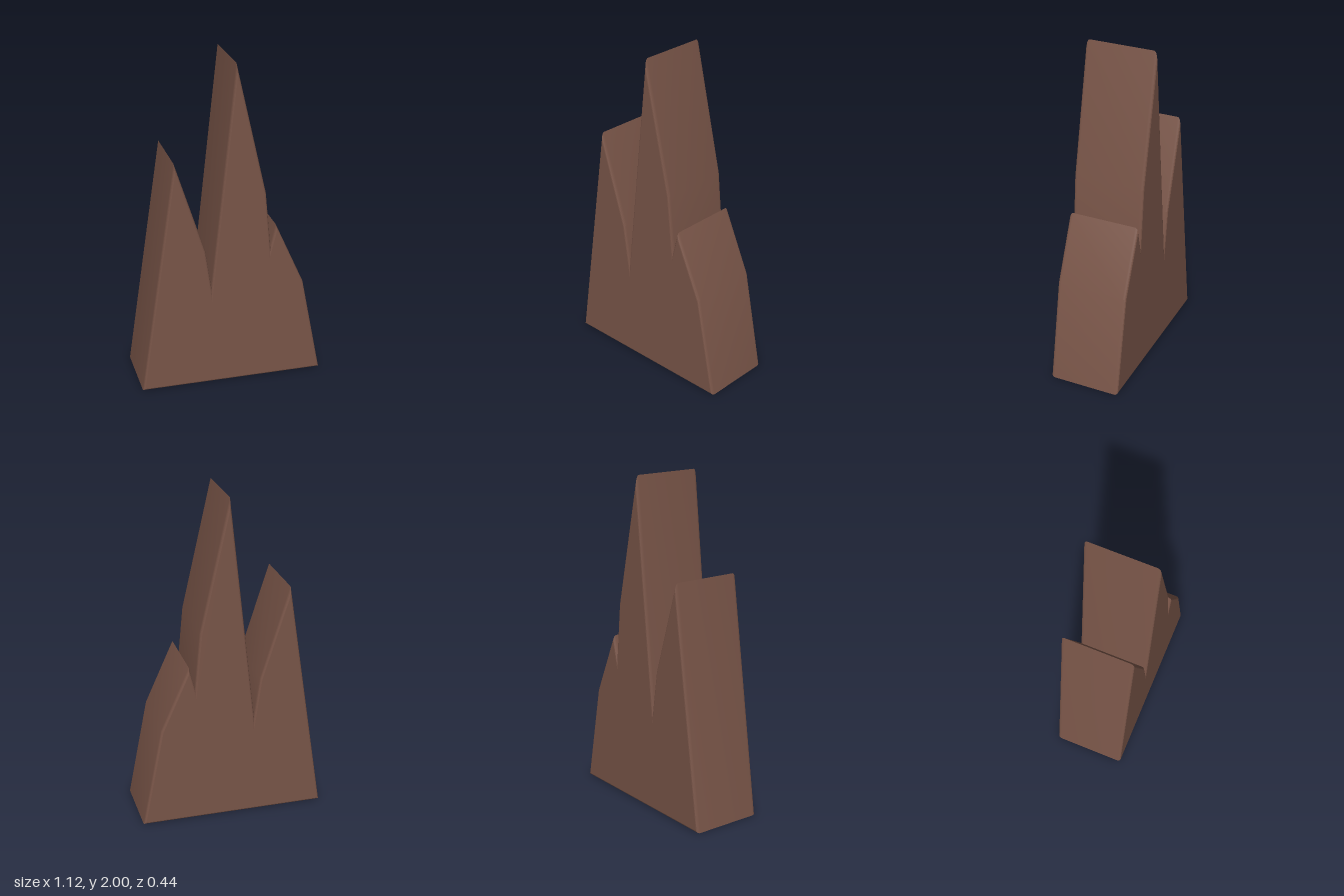
import * as THREE from 'three';
import { mergeGeometries, toCreasedNormals } from 'three/addons/utils/BufferGeometryUtils.js';

const HALF_DEPTH = 0.22, BEVEL = 0.013, BEVEL_DEPTH = 0.02, STEPS = 4;

// Ridge outline, counter-clockwise from the base: three peaks with two notches
const OUTLINE = [
  [-0.56, 0], [0.56, 0], [0.44, 0.61], [0.265, 1.0], [0.232, 0.87],
  [0.2, 1.21], [0.02, 2.0], [-0.13, 0.645], [-0.165, 0.88], [-0.345, 1.44],
].map(([x, y]) => new THREE.Vector2(x, y));

// Outline moved inwards by d, with full mitres at the sharp tips
function inset(d) {
  const n = OUTLINE.length;
  return OUTLINE.map((p, i) => {
    const a = p.clone().sub(OUTLINE[(i + n - 1) % n]).normalize();
    const b = OUTLINE[(i + 1) % n].clone().sub(p).normalize();
    const n1 = new THREE.Vector2(-a.y, a.x), n2 = new THREE.Vector2(-b.y, b.x);
    const mitre = n1.clone().add(n2).multiplyScalar(d / (1 + n1.dot(n2)));
    return p.clone().add(mitre);
  });
}

function makeGeometry(positions, index) {
  const g = new THREE.BufferGeometry();
  g.setAttribute('position', new THREE.Float32BufferAttribute(positions, 3));
  g.setIndex(index);
  g.computeVertexNormals();
  return g;
}

// Walls: outline rings from back to front, rounded inwards at both ends
function makeWalls() {
  const rings = [];
  for (let k = 0; k <= STEPS; k++) {
    const t = (k / STEPS) * Math.PI / 2;
    rings.push([BEVEL * (1 - Math.sin(t)), HALF_DEPTH - BEVEL_DEPTH * (1 - Math.cos(t))]);
  }
  const back = rings.map(([d, z]) => [d, -z]);
  const all = [...back, ...rings.reverse()];
  const n = OUTLINE.length, positions = [], index = [];
  all.forEach(([d, z]) => inset(d).forEach((p) => positions.push(p.x, p.y, z)));
  for (let r = 0; r < all.length - 1; r++) {
    for (let i = 0; i < n; i++) {
      const a = r * n + i, b = r * n + (i + 1) % n;
      index.push(a, b, b + n, a, b + n, a + n);
    }
  }
  return toCreasedNormals(makeGeometry(positions, index), 0.3);
}

// Flat front or back face
function makeCap(side) {
  const pts = inset(BEVEL);
  const faces = THREE.ShapeUtils.triangulateShape(pts, []);
  const index = faces.flatMap(([a, b, c]) => (side > 0 ? [a, b, c] : [a, c, b]));
  return makeGeometry(pts.flatMap((p) => [p.x, p.y, side * HALF_DEPTH]), index).toNonIndexed();
}

export function createModel() {
  const group = new THREE.Group();
  group.name = 'rockSpires';
  const brown = new THREE.MeshStandardMaterial({ color: 0x795548 });
  brown.name = 'rockBrown';
  const rock = new THREE.Mesh(mergeGeometries([makeWalls(), makeCap(1), makeCap(-1)]), brown);
  rock.name = 'jaggedRock';
  group.add(rock);
  return group;
}
